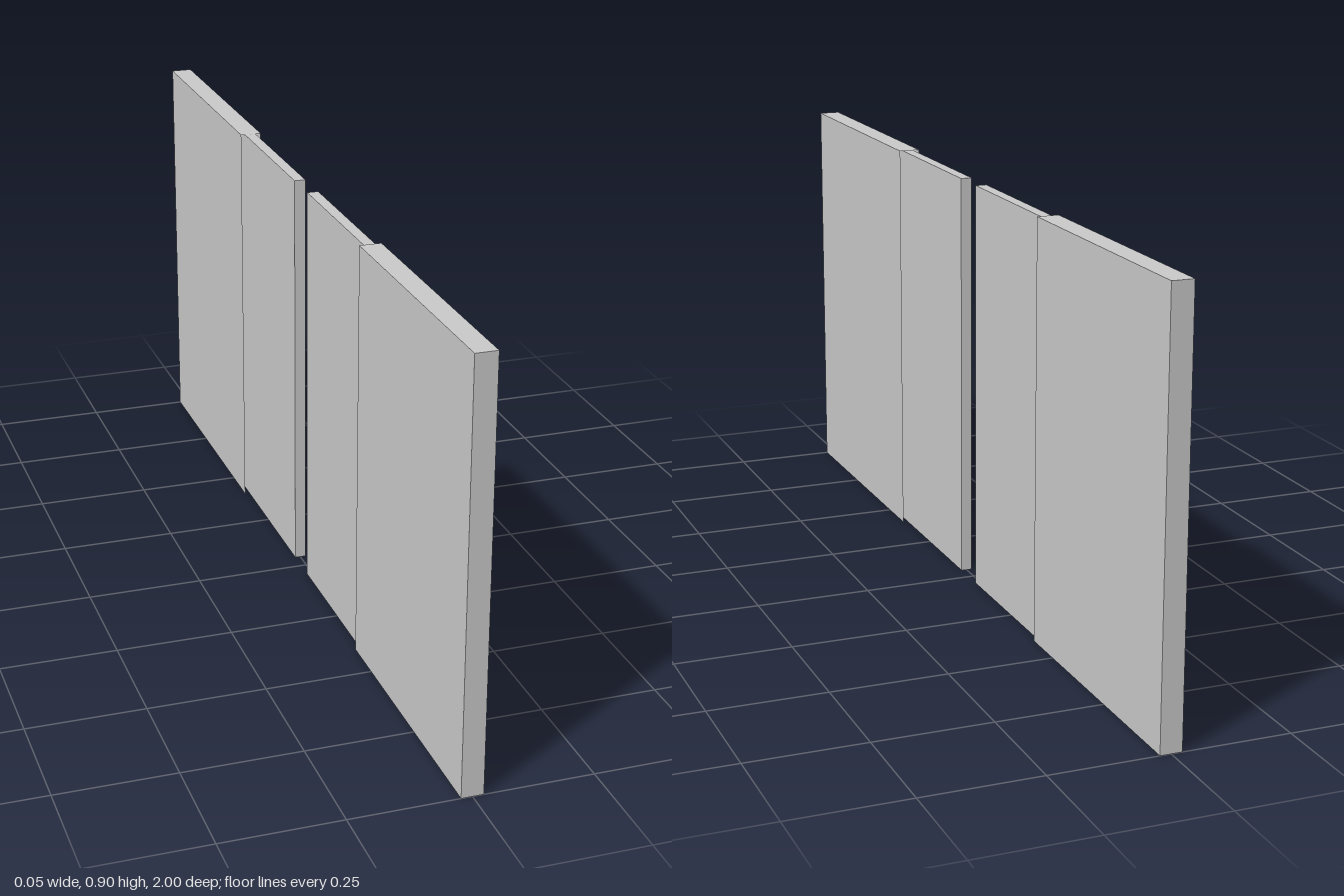
import * as THREE from 'three';

const material = new THREE.MeshStandardMaterial({ color: 0xcccccc, side: THREE.DoubleSide });

// Thin box shell standing on y = 0, without the listed faces (0 +x, 1 -x, 2 +y, 3 -y, 4 +z, 5 -z)
function shell(name, thickness, height, z0, z1, openFaces) {
  const geometry = new THREE.BoxGeometry(thickness, height, z1 - z0);
  const index = Array.from(geometry.index.array);
  geometry.setIndex(index.filter((_, i) => !openFaces.includes(Math.floor(i / 6))));
  geometry.clearGroups();
  const mesh = new THREE.Mesh(geometry, material);
  mesh.name = name;
  mesh.position.set(0, height / 2, (z0 + z1) / 2);
  return mesh;
}

export function createModel() {
  const model = new THREE.Group();
  model.name = 'slidingDoors';

  for (const [side, turn] of [['front', 0], ['back', Math.PI]]) {
    const half = new THREE.Group();
    half.name = side + 'Half';
    // Hollow pocket, open below and where the door slides out
    half.add(shell(side + 'Pocket', 0.046, 0.897, 0.402, 1, [3, 5]));
    // Thinner door, its outer part hidden in the pocket
    half.add(shell(side + 'Door', 0.024, 0.895, 0.043, 0.58, [3]));
    half.rotation.y = turn;
    model.add(half);
  }
  return model;
}
